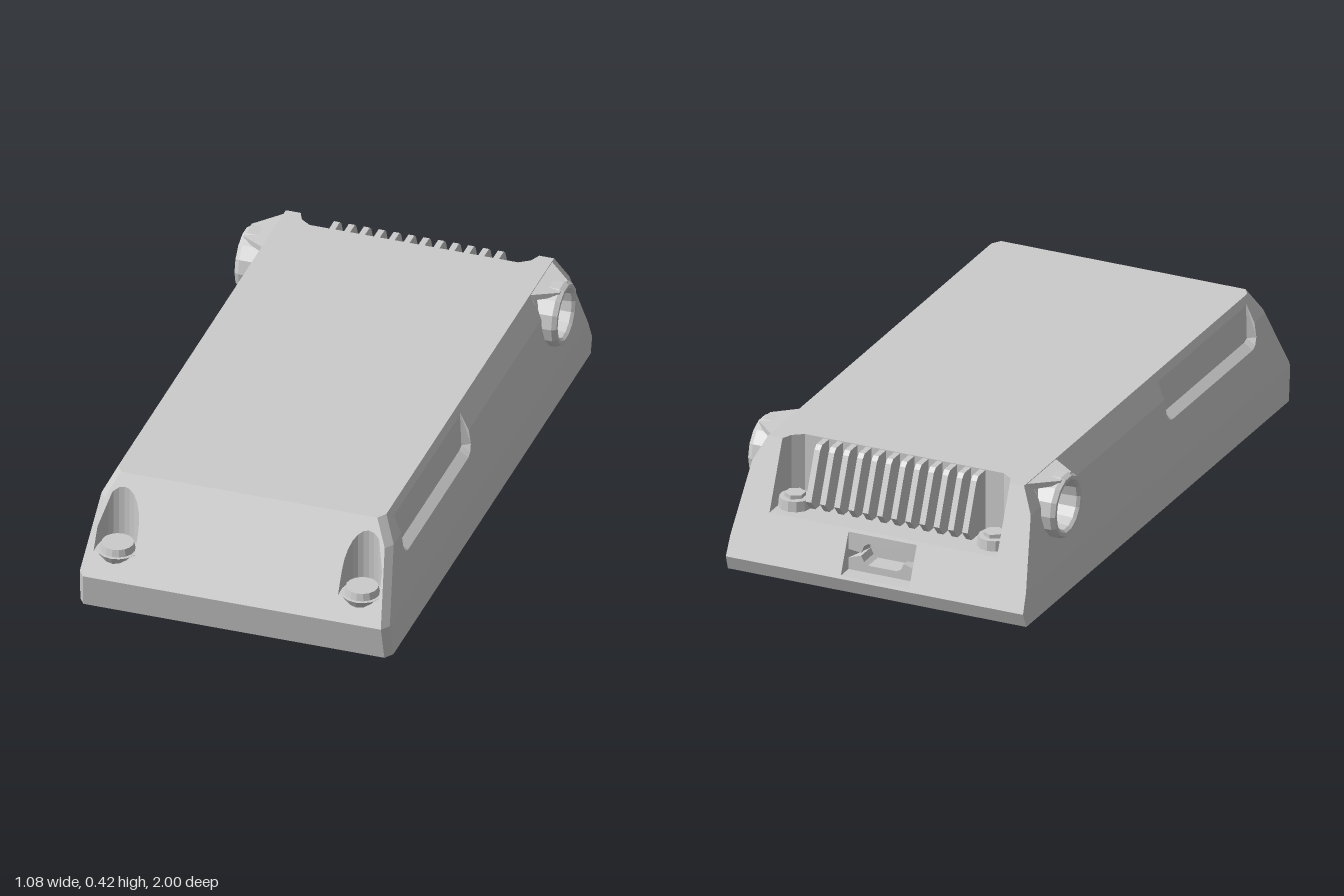
import * as THREE from 'three';
import { ConvexGeometry } from 'three/addons/geometries/ConvexGeometry.js';

const TOP = 0.42;
const material = new THREE.MeshStandardMaterial({ color: 0xcccccc, flatShading: true });

// Piecewise linear function through [t, value] pairs
const ramp = (pairs) => (t) => {
  let i = 1;
  while (i < pairs.length - 1 && t > pairs[i][0]) i++;
  const [[t0, v0], [t1, v1]] = [pairs[i - 1], pairs[i]];
  return v0 + ((v1 - v0) * (t - t0)) / (t1 - t0);
};

// Outer faces of the case as functions of height
const sideX = ramp([[0, 0.525], [0.115, 0.52], [0.34, 0.49], [TOP, 0.45]]);
const frontZ = ramp([[0, 0.98], [0.115, 1], [TOP, 0.83]]);
const backZ = ramp([[0, -0.98], [0.05, -1], [TOP, -0.84]]);
const CUT = 0.02; // front corner chamfer

// Skin between upright columns of points, listed left to right as seen from outside
function skin(columns) {
  const out = [];
  const tri = (a, b, c) => {
    const ab = new THREE.Vector3().subVectors(b, a);
    const ac = new THREE.Vector3().subVectors(c, a);
    if (ab.cross(ac).length() > 1e-8) for (const p of [a, b, c]) out.push(p.x, p.y, p.z);
  };
  for (let i = 0; i + 1 < columns.length; i++) {
    const [l, r] = [columns[i], columns[i + 1]];
    for (let j = 0; j + 1 < l.length; j++) {
      tri(l[j], r[j], r[j + 1]);
      tri(l[j], r[j + 1], l[j + 1]);
    }
  }
  const geometry = new THREE.BufferGeometry();
  geometry.setAttribute('position', new THREE.Float32BufferAttribute(out, 3));
  geometry.computeVertexNormals();
  return geometry;
}
const mirrored = (columns) =>
  columns.map((c) => c.map((p) => new THREE.Vector3(-p.x, p.y, p.z))).reverse();
const V = (x, y, z) => new THREE.Vector3(x, y, z);

// Front face: a vertical round scoop near each corner
function frontColumns() {
  const column = (x, hi, scoopZ) =>
    [0, 0.115, 0.19, 0.19, hi, TOP].map((y, j) =>
      V(Math.min(x, sideX(y) - CUT), y, j === 3 && scoopZ ? scoopZ : frontZ(y)));
  const r = 0.068;
  const half = [column(0, 0.26), column(0.41 - r, 0.26)];
  for (let i = 0; i <= 12; i++) {
    const a = Math.PI * (1 - i / 12);
    const z = 0.92 - r * Math.sin(a);
    half.push(column(0.41 + r * Math.cos(a), 0.115 + ((1 - z) * 0.305) / 0.17, z));
  }
  half.push(column(0.41 + r, 0.26), column(9, 0.34));
  return [...mirrored(half), ...half];
}

// Side face: a long bevelled pocket and a round bore
function sideColumns() {
  const column = (z, lo = 0.34, hi = 0.34, depth = 1, bevel = 0) =>
    [0, 0.05, 0.115, lo, lo + bevel, hi - bevel / 4, hi, TOP].map((y, j) => {
      const x = sideX(y);
      return V(j === 4 || j === 5 ? Math.min(x, depth) : x, y, typeof z === 'number' ? z : z(y));
    });
  const columns = [
    column((y) => frontZ(y) - CUT * 1.5),
    column(0.77), column(0.77, 0.29, 0.4), column(0.755, 0.268, 0.4, 0.47, 0.02),
    column(0.735, 0.26, 0.4, 0.47, 0.02), column(0.145, 0.26, 0.4, 0.47, 0.02),
    column(0.125, 0.268, 0.4, 0.47, 0.02), column(0.11, 0.29, 0.4), column(0.11),
    column(-0.605),
  ];
  for (let i = 0; i <= 12; i++) {
    const a = (Math.PI * i) / 12;
    const h = 0.095 * Math.sin(a);
    columns.push(column(-0.7 + 0.095 * Math.cos(a), 0.31 - h, 0.31 + h, 0.43));
  }
  columns.push(column(-0.795), column(backZ));
  return columns;
}

// Back face: a wide bay open at the top, and a socket notch below it
const bayWall = [[0.4, -0.84], [0.385, -0.805], [0.35, -0.78]];
function backColumns() {
  const column = (x, { bay, port, slot } = {}) => {
    const [s0, s1] = slot || [0.1, 0.13];
    const ys = [0, 0.05, 0.06, 0.06, s0, s0, s1, s1, 0.19, 0.2, 0.2, TOP];
    return ys.map((y, j) => {
      let z = backZ(y);
      if (port && j >= 3 && j <= 7) z = -0.94;
      if (slot && (j === 5 || j === 6)) z = -0.87;
      if (bay && j >= 10) z = bay;
      return V(x, y, z);
    });
  };
  const edge = [0, 0.05, 0.06, 0.06, 0.1, 0.1, 0.115, 0.115, 0.19, 0.34, 0.34, TOP]
    .map((y) => V(sideX(y), y, backZ(y)));
  const bay = -0.78;
  const half = [
    edge, column(0.4), ...bayWall.map(([x, z]) => column(x, { bay: z })),
    column(0.12, { bay }), column(0.12, { bay, port: true }),
    column(0.075, { bay, port: true, slot: [0.115, 0.125] }),
    column(0.065, { bay, port: true, slot: [0.095, 0.15] }),
    column(0.05, { bay, port: true, slot: [0.085, 0.16] }),
  ];
  return [...half, ...mirrored(half)];
}

// Flat horizontal panel from half an outline of [x, z] points, front to back
function panel(half, y, up) {
  const pts = [...half, ...half.map(([x, z]) => [-x, z]).reverse()];
  const shape = new THREE.Shape(pts.map(([x, z]) => new THREE.Vector2(x, up ? -z : z)));
  return new THREE.ShapeGeometry(shape).rotateX(up ? -Math.PI / 2 : Math.PI / 2).translate(0, y, 0);
}

export function createModel() {
  const model = new THREE.Group();
  const add = (name, geometry, parent = model) => {
    const mesh = new THREE.Mesh(geometry, material);
    mesh.name = name;
    parent.add(mesh);
    return mesh;
  };

  // Case
  const side = sideColumns();
  const cornerYs = [0, 0.115, 0.19, 0.34, TOP];
  const corner = [
    cornerYs.map((y) => V(sideX(y) - CUT, y, frontZ(y))),
    cornerYs.map((y) => V(sideX(y), y, frontZ(y) - CUT * 1.5)),
  ];
  add('frontFace', skin(frontColumns()));
  add('backFace', skin(backColumns()));
  add('leftSide', skin(side));
  add('rightSide', skin(mirrored(side)));
  add('leftFrontCorner', skin(corner));
  add('rightFrontCorner', skin(mirrored(corner)));
  const outline = (y) => [
    [sideX(y) - CUT, frontZ(y)], [sideX(y), frontZ(y) - CUT * 1.5], [sideX(y), backZ(y)],
  ];
  add('topPanel', panel([...outline(TOP), ...bayWall], TOP, true));
  add('bottomPanel', panel(outline(0), 0, false));

  // Cooling fins in the back bay
  const fins = new THREE.Group();
  fins.name = 'coolingFins';
  model.add(fins);
  const profile = [[0.77, 0.215], [0.88, 0.215], [0.91, 0.25], [0.845, 0.405], [0.83, 0.418], [0.77, 0.418]];
  const finShape = new THREE.Shape(profile.map(([z, y]) => new THREE.Vector2(z, y)));
  const finGeometry = new THREE.ExtrudeGeometry(finShape, { depth: 0.02, bevelEnabled: false })
    .rotateY(Math.PI / 2).translate(-0.01, 0, 0);
  for (let i = 0; i < 12; i++) {
    const fin = add('fin', finGeometry, fins);
    fin.position.x = -0.275 + i * 0.05;
  }
  // the fin profile is drawn with z reversed by the quarter turn

  for (const s of [1, -1]) {
    const label = s > 0 ? 'left' : 'right';

    // Bolts and the tapered seat under each front one
    add(label + 'BoltSeat', new THREE.CylinderGeometry(0.068, 0.035, 0.06, 16)
      .translate(s * 0.41, 0.161, 0.92));
    add(label + 'FrontBolt', new THREE.CylinderGeometry(0.052, 0.057, 0.025, 16)
      .translate(s * 0.41, 0.203, 0.92));
    add(label + 'BackBolt', new THREE.CylinderGeometry(0.052, 0.055, 0.035, 12)
      .translate(s * 0.35, 0.217, -0.85));
    add(label + 'BackBoltHead', new THREE.CylinderGeometry(0.034, 0.034, 0.015, 6)
      .translate(s * 0.35, 0.24, -0.85));

    // Hollow side lug
    const ring = [[0.108, 0.42], [0.108, 0.525], [0.1, 0.54], [0.088, 0.54], [0.08, 0.53], [0.075, 0.46], [0, 0.46]];
    add(label + 'Lug', new THREE.LatheGeometry(ring.map(([r, h]) => new THREE.Vector2(r, h)), 14)
      .rotateZ((-s * Math.PI) / 2).translate(0, 0.31, -0.7));

    // Shoulder joining the lug to the top panel
    const shoulder = [];
    for (const [x, y, z0, z1] of [[0.44, 0.419, -0.83, -0.6], [0.53, 0.412, -0.74, -0.66], [0.44, 0.397, -0.83, -0.6], [0.53, 0.397, -0.74, -0.66]])
      shoulder.push(V(s * x, y, z0), V(s * x, y, z1));
    add(label + 'LugShoulder', new ConvexGeometry(shoulder));
  }
  return model;
}
